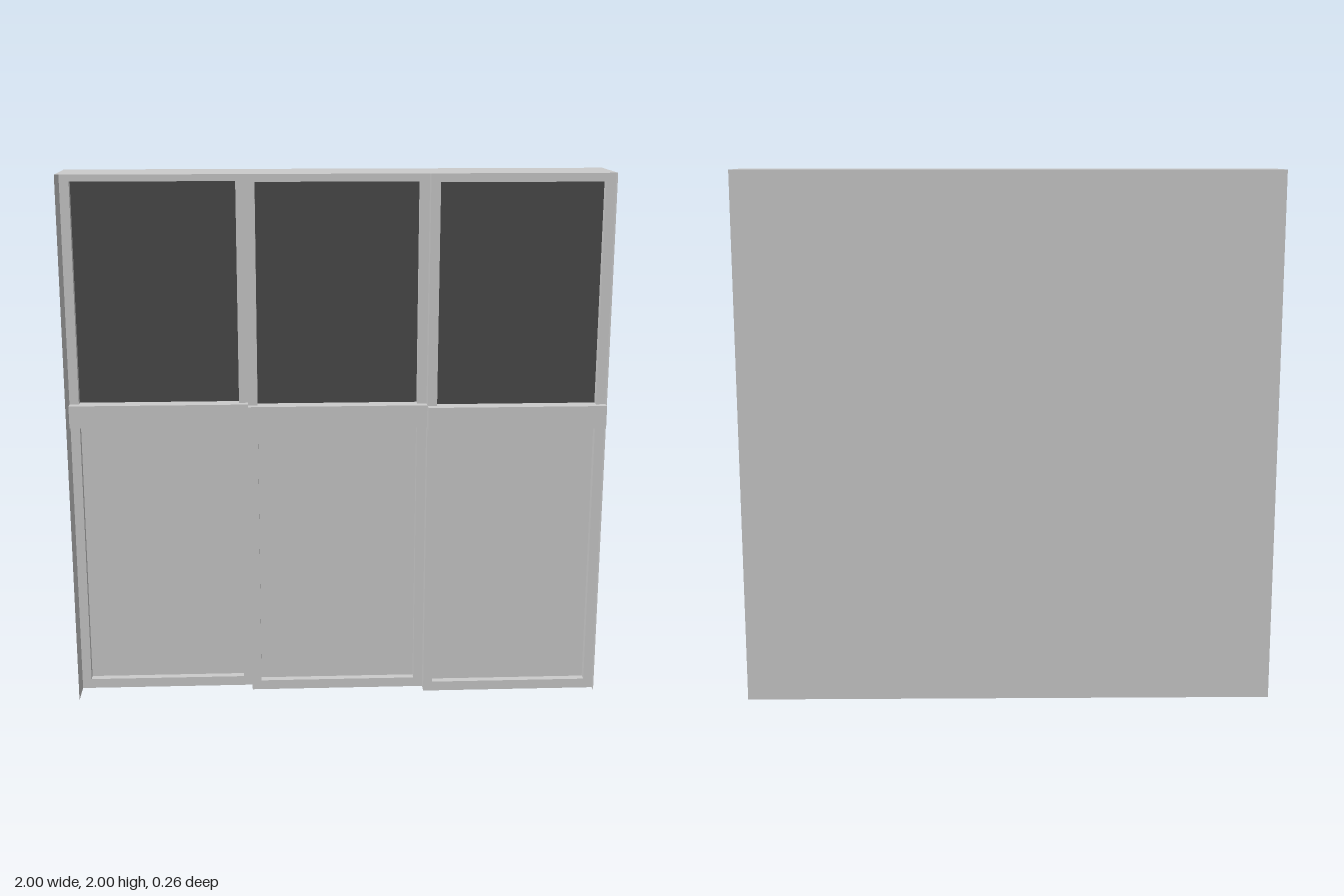
import * as THREE from 'three';

const grey = new THREE.MeshStandardMaterial({ color: 0xcccccc, side: THREE.DoubleSide });
const dark = new THREE.MeshStandardMaterial({ color: 0x4a4a4a, side: THREE.DoubleSide });

const BACK = -0.13, FRONT = 0.125, HEIGHT = 2;
const DOOR_W = 2 / 3, STILE = 0.035, RECESS = 0.03;

function add(parent, name, geometry, x, y, z, material = grey) {
  const mesh = new THREE.Mesh(geometry, material);
  mesh.name = name;
  mesh.position.set(x, y, z);
  parent.add(mesh);
  return mesh;
}

// Thin sheets facing x, y or z
const sheetX = (depth, h) => new THREE.PlaneGeometry(depth, h).rotateY(Math.PI / 2);
const sheetY = (w, depth) => new THREE.PlaneGeometry(w, depth).rotateX(-Math.PI / 2);
const sheetZ = (w, h) => new THREE.PlaneGeometry(w, h);

function rectangle(Type, x0, y0, x1, y1) {
  return new Type([[x0, y0], [x1, y0], [x1, y1], [x0, y1]].map(p => new THREE.Vector2(...p)));
}

// Sliding door: framed sheet with two recessed panels and a proud middle rail
function createDoor(name, x, z) {
  const door = new THREE.Group();
  door.name = name;
  door.position.set(x, 0, z);

  const half = DOOR_W / 2, inner = half - STILE;
  const openings = [
    { name: 'lowerPanel', y0: 0.037, y1: 1.06, material: grey },
    { name: 'upperPanel', y0: 1.145, y1: 1.967, material: dark },
  ];

  const frame = rectangle(THREE.Shape, -half, 0, half, HEIGHT);
  for (const o of openings) {
    frame.holes.push(rectangle(THREE.Path, -inner, o.y0, inner, o.y1));
    const h = o.y1 - o.y0, mid = (o.y0 + o.y1) / 2;
    add(door, o.name, sheetZ(inner * 2, h), 0, mid, -RECESS, o.material);
    // Reveal around the opening
    for (const s of [-1, 1]) add(door, 'reveal', sheetX(RECESS, h).rotateY(s > 0 ? Math.PI : 0), s * inner, mid, -RECESS / 2);
    add(door, 'reveal', sheetY(inner * 2, RECESS), 0, o.y0, -RECESS / 2);
    add(door, 'reveal', sheetY(inner * 2, RECESS).rotateX(Math.PI), 0, o.y1, -RECESS / 2);
  }
  add(door, 'doorFrame', new THREE.ShapeGeometry(frame), 0, 0, 0);
  add(door, 'middleRail', new THREE.BoxGeometry(DOOR_W, 0.085, 0.03), 0, 1.1025, 0.015);
  return door;
}

export function createModel() {
  const model = new THREE.Group();
  model.name = 'wardrobe';

  // Open-bottomed cabinet shell
  const depth = FRONT - BACK, zMid = (FRONT + BACK) / 2;
  add(model, 'backPanel', sheetZ(2, HEIGHT).rotateY(Math.PI), 0, HEIGHT / 2, BACK);
  add(model, 'topPanel', sheetY(2, depth), 0, HEIGHT, zMid);
  add(model, 'leftSide', sheetX(depth, HEIGHT), 1, HEIGHT / 2, zMid);
  add(model, 'rightSide', sheetX(depth, HEIGHT).rotateY(Math.PI), -1, HEIGHT / 2, zMid);

  // Doors stepping forward from right to left, each with a divider at its inner edge
  ['rightDoor', 'middleDoor', 'leftDoor'].forEach((name, i) => {
    const x = (i - 1) * DOOR_W, z = 0.012 + i * 0.044;
    model.add(createDoor(name, x, z));
    if (i > 0) {
      add(model, 'divider', sheetX(z - BACK, HEIGHT).rotateY(Math.PI), x - DOOR_W / 2, HEIGHT / 2, (z + BACK) / 2);
    }
  });
  return model;
}
